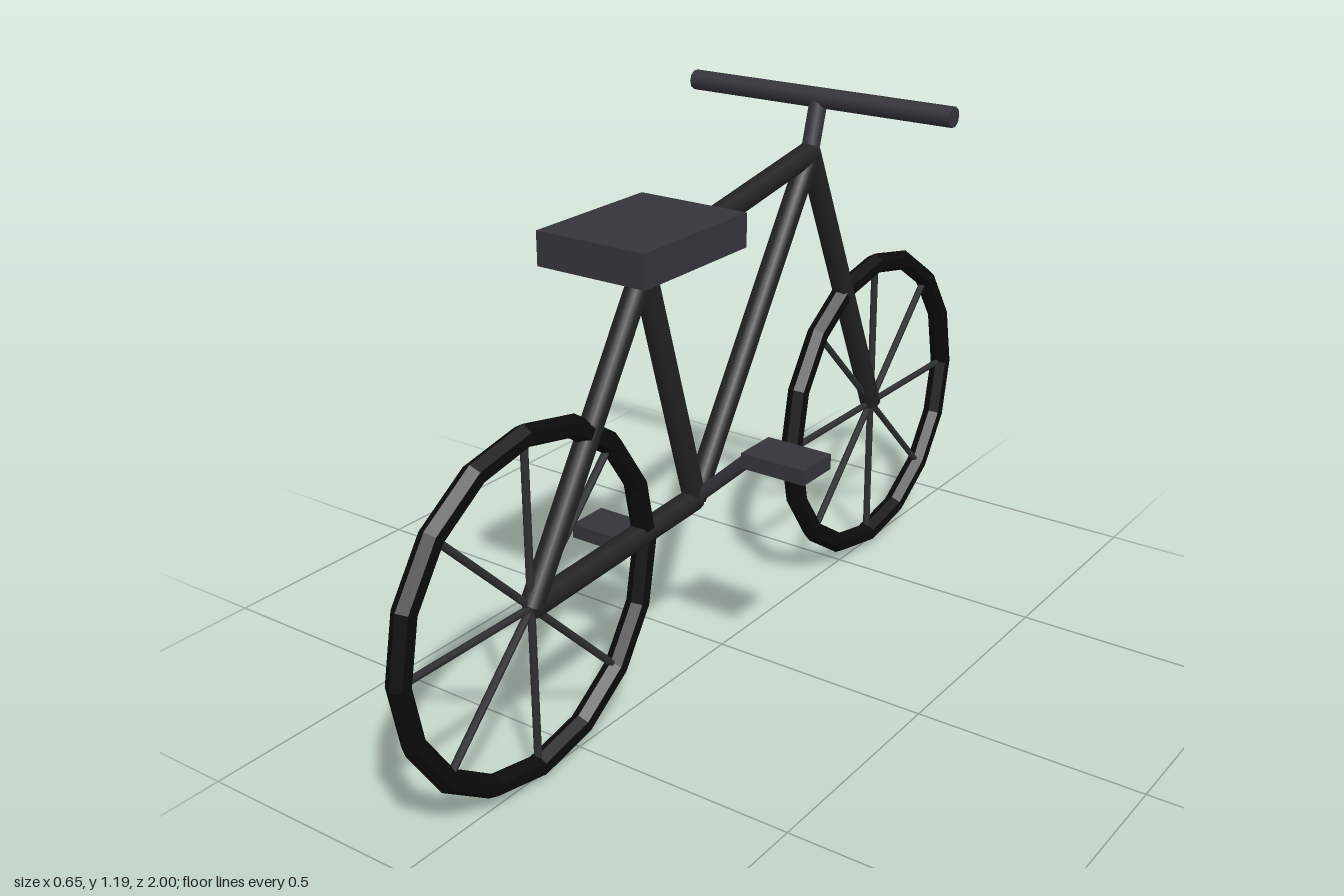
import * as THREE from 'three';

const mat = (name, color, flatShading = false) => {
  const m = new THREE.MeshStandardMaterial({ color, flatShading });
  m.name = name;
  return m;
};

export function createModel() {
  const bike = new THREE.Group();
  bike.name = 'bicycle';
  const rubber = mat('tyre black', 0x0b0b0b, true);
  const paint = mat('frame black', 0x222222);
  const steel = mat('spoke grey', 0x2e3032);
  const trim = mat('trim charcoal', 0x35343b);

  const add = (parent, name, geometry, material) => {
    const mesh = new THREE.Mesh(geometry, material);
    mesh.name = name;
    parent.add(mesh);
    return mesh;
  };
  // Round bar between two points
  const bar = (parent, name, a, b, r, material, sides = 10) => {
    const dir = b.clone().sub(a);
    const mesh = add(parent, name, new THREE.CylinderGeometry(r, r, dir.length(), sides), material);
    mesh.position.copy(a).add(b).multiplyScalar(0.5);
    mesh.quaternion.setFromUnitVectors(new THREE.Vector3(0, 1, 0), dir.normalize());
    return mesh;
  };
  const box = (name, w, h, d, x, y, z) =>
    add(bike, name, new THREE.BoxGeometry(w, h, d), trim).position.set(x, y, z);
  const p = (y, z, x = 0) => new THREE.Vector3(x, y, z);

  // Frame joints
  const rearAxle = p(0.377, 0.625);
  const frontAxle = p(0.377, -0.625);
  const crankJoint = p(0.4, 0.1);
  const seatJoint = p(0.95, 0.262);
  const headJoint = p(1.055, -0.328);
  const barCentre = p(1.168, -0.362);

  // Wheels: faceted tyre and four full-width spokes
  for (const [name, axle] of [['rearWheel', rearAxle], ['frontWheel', frontAxle]]) {
    const wheel = new THREE.Group();
    wheel.name = name;
    wheel.position.copy(axle);
    bike.add(wheel);
    add(wheel, 'tyre', new THREE.TorusGeometry(0.351, 0.024, 6, 16), rubber).rotation.y = Math.PI / 2;
    for (let i = 0; i < 4; i++) {
      const a = (i * Math.PI) / 4;
      const tip = p(Math.sin(a) * 0.35, Math.cos(a) * 0.35);
      bar(wheel, 'spoke', tip.clone().negate(), tip, 0.008, steel, 6);
    }
  }

  // Frame tubes
  const tubes = {
    chainStay: [rearAxle, crankJoint],
    seatStay: [rearAxle, seatJoint],
    seatTube: [crankJoint, seatJoint],
    downTube: [crankJoint, headJoint],
    topTube: [seatJoint, headJoint],
    fork: [headJoint, frontAxle],
  };
  for (const [name, [a, b]] of Object.entries(tubes)) bar(bike, name, a, b, 0.025, paint);

  // Steering
  bar(bike, 'stem', headJoint, barCentre, 0.02, trim);
  bar(bike, 'handlebar', p(1.168, -0.362, -0.325), p(1.168, -0.362, 0.325), 0.022, trim);

  // Saddle
  box('saddle', 0.255, 0.07, 0.325, 0, 1.008, 0.2605);

  // Cranks and pedals, one up and one down
  for (const s of [-1, 1]) {
    bar(bike, 'crank', crankJoint, p(0.4 + s * 0.142, 0.097, s * 0.155), 0.015, trim);
    box('pedal', 0.15, 0.033, 0.1, s * 0.224, 0.4 + s * 0.142, 0.096);
  }
  return bike;
}
